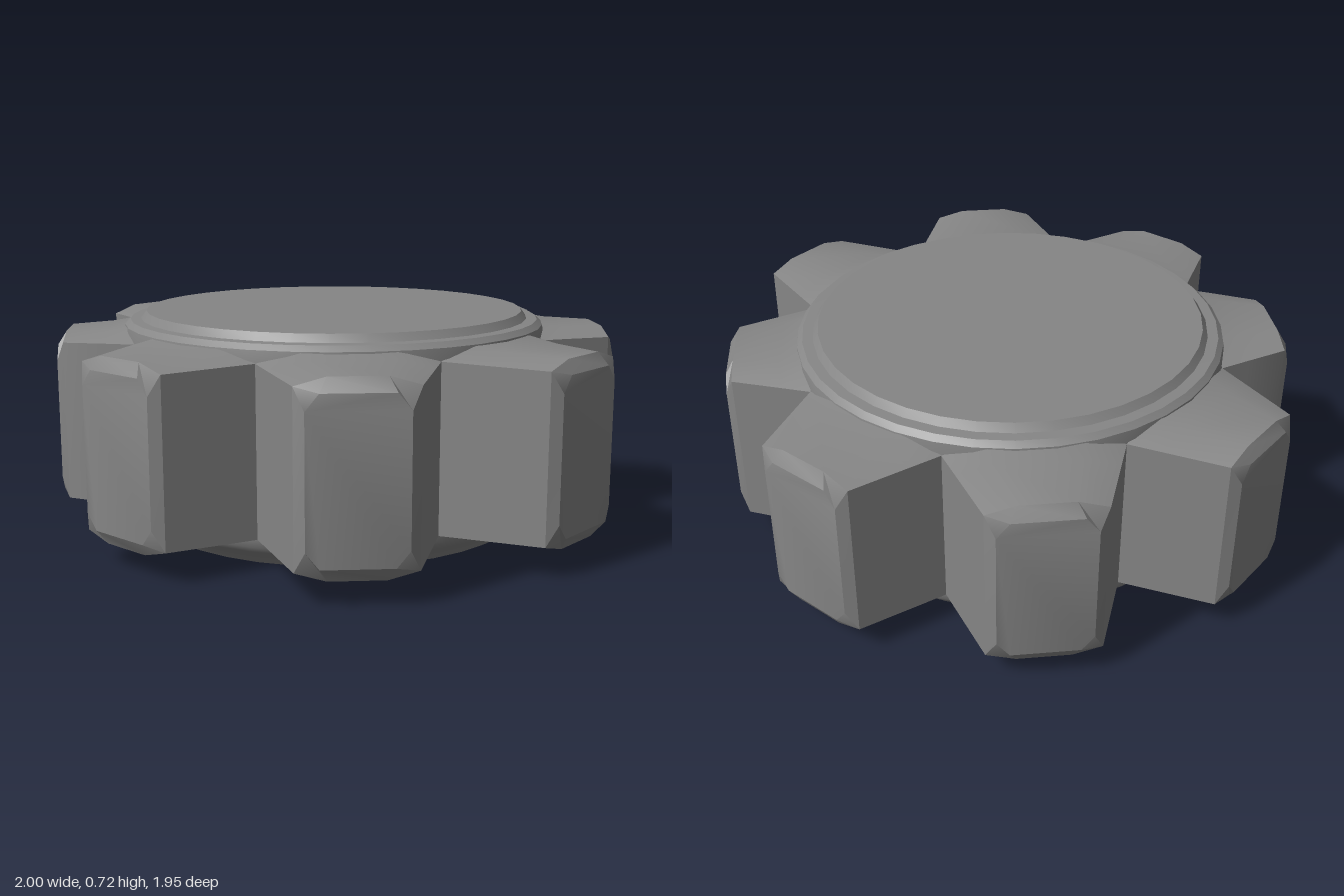
import * as THREE from 'three';
import { toCreasedNormals } from 'three/addons/utils/BufferGeometryUtils.js';

const MID = 0.367; // mid height of the teeth
const CREASE = 0.5; // edges sharper than this stay hard

// Eight-sided cross-section: half width W, flat half width a, half height h, corner height c
function section(r, W, a, h, c) {
  return [[W, c], [a, h], [-a, h], [-W, c], [-W, -c], [-a, -h], [a, -h], [W, -c]]
    .map(([w, y]) => [r, MID + y, w]);
}

// Tapered tooth pointing along +x, rising slightly at the root, with a bevelled tip
function toothGeometry(tip) {
  const root = 0.665, shoulder = tip - 0.026, mid = 0.765;
  const midWidth = THREE.MathUtils.mapLinear(mid, root, shoulder, 0.276, 0.178);
  const rings = [
    section(root, 0.276, 0.15, 0.31, 0.27),
    section(mid, midWidth, 0.13, 0.295, 0.268),
    section(shoulder, 0.178, 0.085, 0.29, 0.264),
    section(tip, 0.147, 0.107, 0.248, 0.198),
  ];
  const index = [];
  for (let i = 0; i < rings.length - 1; i++) {
    for (let j = 0; j < 8; j++) {
      const a = i * 8 + j, b = i * 8 + (j + 1) % 8;
      index.push(a, b + 8, b, a, a + 8, b + 8);
    }
  }
  const last = (rings.length - 1) * 8;
  for (let k = 1; k < 7; k++) index.push(last, last + k + 1, last + k);
  const geo = new THREE.BufferGeometry();
  geo.setAttribute('position', new THREE.Float32BufferAttribute(rings.flat(2), 3));
  geo.setIndex(index);
  return toCreasedNormals(geo, CREASE);
}

export function createModel() {
  const group = new THREE.Group();
  const material = new THREE.MeshStandardMaterial({ color: 0x868686 });

  // Hub with a stepped rim above and below
  const profile = [
    [0, 0], [0.65, 0], [0.672, 0.028], [0.7, 0.05], [0.713, 0.068], [0.719, 0.098],
    [0.719, 0.638], [0.713, 0.676], [0.695, 0.693], [0.66, 0.695], [0.642, 0.72], [0, 0.72],
  ].map(([r, y]) => new THREE.Vector2(r, y));
  const hub = new THREE.Mesh(toCreasedNormals(new THREE.LatheGeometry(profile, 36), CREASE), material);
  hub.name = 'hub';
  group.add(hub);

  // Teeth of slightly uneven length, starting at +x and turning towards +z
  [1.01, 1.02, 0.972, 0.93, 0.99, 0.977, 0.981, 0.945].forEach((tip, i) => {
    const tooth = new THREE.Mesh(toothGeometry(tip), material);
    tooth.name = `tooth${i + 1}`;
    tooth.rotation.y = -i * Math.PI / 4;
    group.add(tooth);
  });

  group.position.x = -0.01;
  return group;
}
